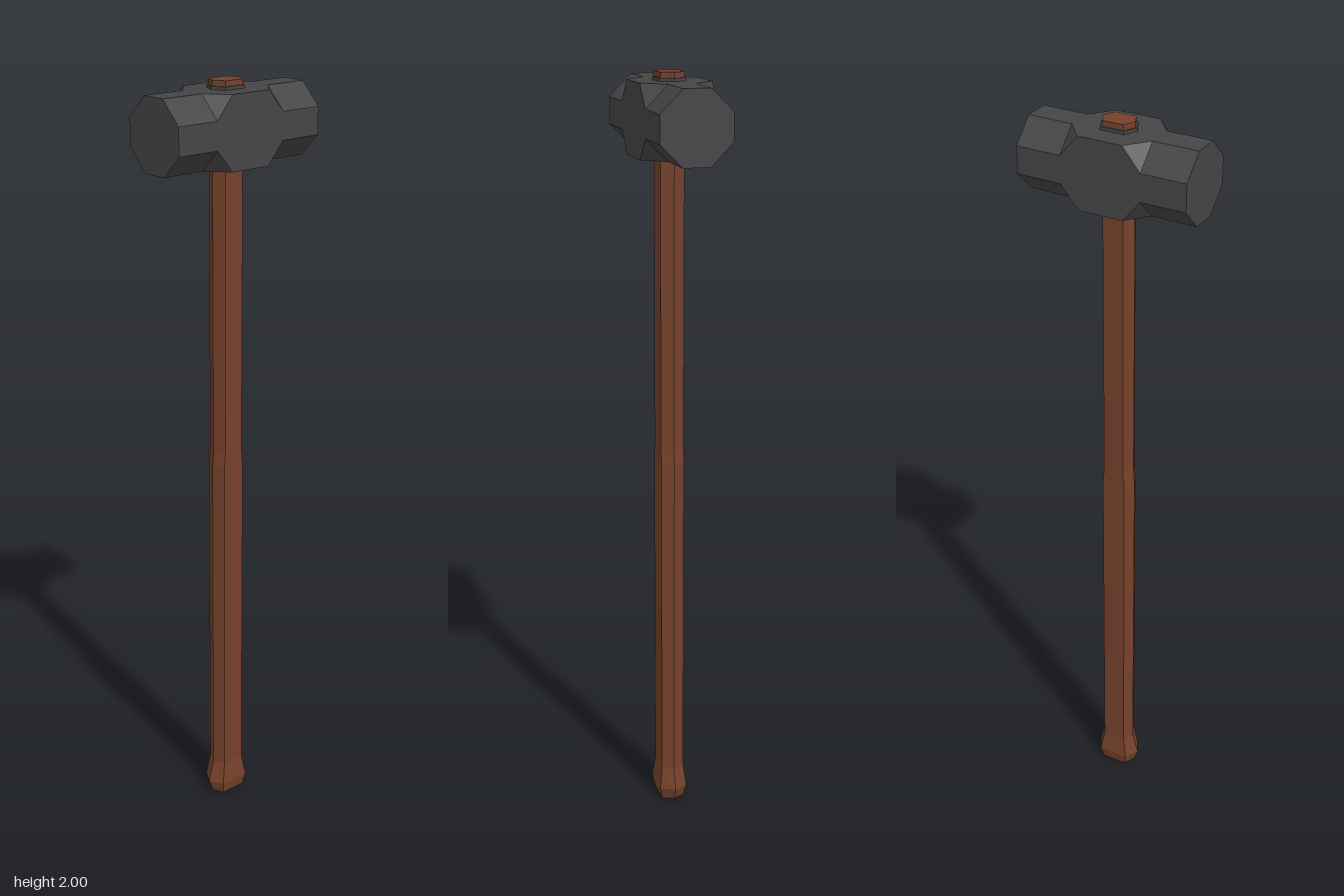
import * as THREE from 'three';
import { ConvexGeometry } from 'three/addons/geometries/ConvexGeometry.js';

const wood = new THREE.MeshStandardMaterial({ color: 0x75412b, flatShading: true });
wood.name = 'brownWood';
const steel = new THREE.MeshStandardMaterial({ color: 0x454545, flatShading: true });
steel.name = 'darkSteel';

// Lofts hexagonal rings [y, half width, half width of the flat, half depth] from bottom to top
function hexLoft(rings) {
  const loops = rings.map(([y, w, c, d]) =>
    [[w, 0], [c, d], [-c, d], [-w, 0], [-c, -d], [c, -d]].map(([x, z]) => [x, y, z]));
  const pos = [];
  const tri = (...pts) => pts.forEach((p) => pos.push(...p));
  for (let r = 0; r < loops.length - 1; r++) {
    for (let i = 0; i < 6; i++) {
      const j = (i + 1) % 6;
      const a = loops[r][i], b = loops[r][j], c = loops[r + 1][j], d = loops[r + 1][i];
      tri(a, d, c);
      tri(a, c, b);
    }
  }
  const bottom = loops[0], top = loops[loops.length - 1];
  for (let i = 1; i < 5; i++) {
    tri(bottom[0], bottom[i], bottom[i + 1]);
    tri(top[0], top[i + 1], top[i]);
  }
  const geo = new THREE.BufferGeometry();
  geo.setAttribute('position', new THREE.Float32BufferAttribute(pos, 3));
  geo.computeVertexNormals();
  return geo;
}

// Octagon of points at a given x, half size h with flats of half length f
function octagon(x, h, f) {
  return [[f, h], [h, f], [h, -f], [f, -h], [-f, -h], [-h, -f], [-h, f], [-f, h]]
    .map(([y, z]) => new THREE.Vector3(x, y, z));
}

export function createModel() {
  const group = new THREE.Group();
  const add = (name, geo, mat, parent = group) => {
    const mesh = new THREE.Mesh(geo, mat);
    mesh.name = name;
    parent.add(mesh);
    return mesh;
  };

  // Handle with flared knob and thicker lower grip
  add('handle', hexLoft([
    [0, 0.05, 0.035, 0.031],
    [0.035, 0.063, 0.042, 0.038],
    [0.095, 0.046, 0.032, 0.031],
    [1.0, 0.046, 0.032, 0.031],
    [1.04, 0.043, 0.028, 0.031],
    [2, 0.043, 0.028, 0.031],
  ]), wood);

  // Head: square block in the middle, octagonal striking ends
  const head = new THREE.Group();
  head.name = 'head';
  head.position.y = 1.886;
  group.add(head);
  const H = 0.092, F = 0.035, INNER = 0.106, OUTER = 0.224, EDGE = 0.058;
  const block = [...octagon(-INNER, H, F), ...octagon(INNER, H, F)];
  for (const x of [-EDGE, EDGE])
    for (const y of [-H, H])
      for (const z of [-H, H]) block.push(new THREE.Vector3(x, y, z));
  add('headBlock', new ConvexGeometry(block), steel, head);
  for (const s of [-1, 1]) {
    add(s > 0 ? 'leftStrikingEnd' : 'rightStrikingEnd',
      new ConvexGeometry([...octagon(s * INNER, H, F), ...octagon(s * OUTER, H, F)]), steel, head);
  }

  // Collar around the handle, just proud of the head above and below
  add('collar', hexLoft([[-0.1, 0.048, 0.031, 0.035], [0.1, 0.048, 0.031, 0.035]]), steel, head);

  return group;
}
